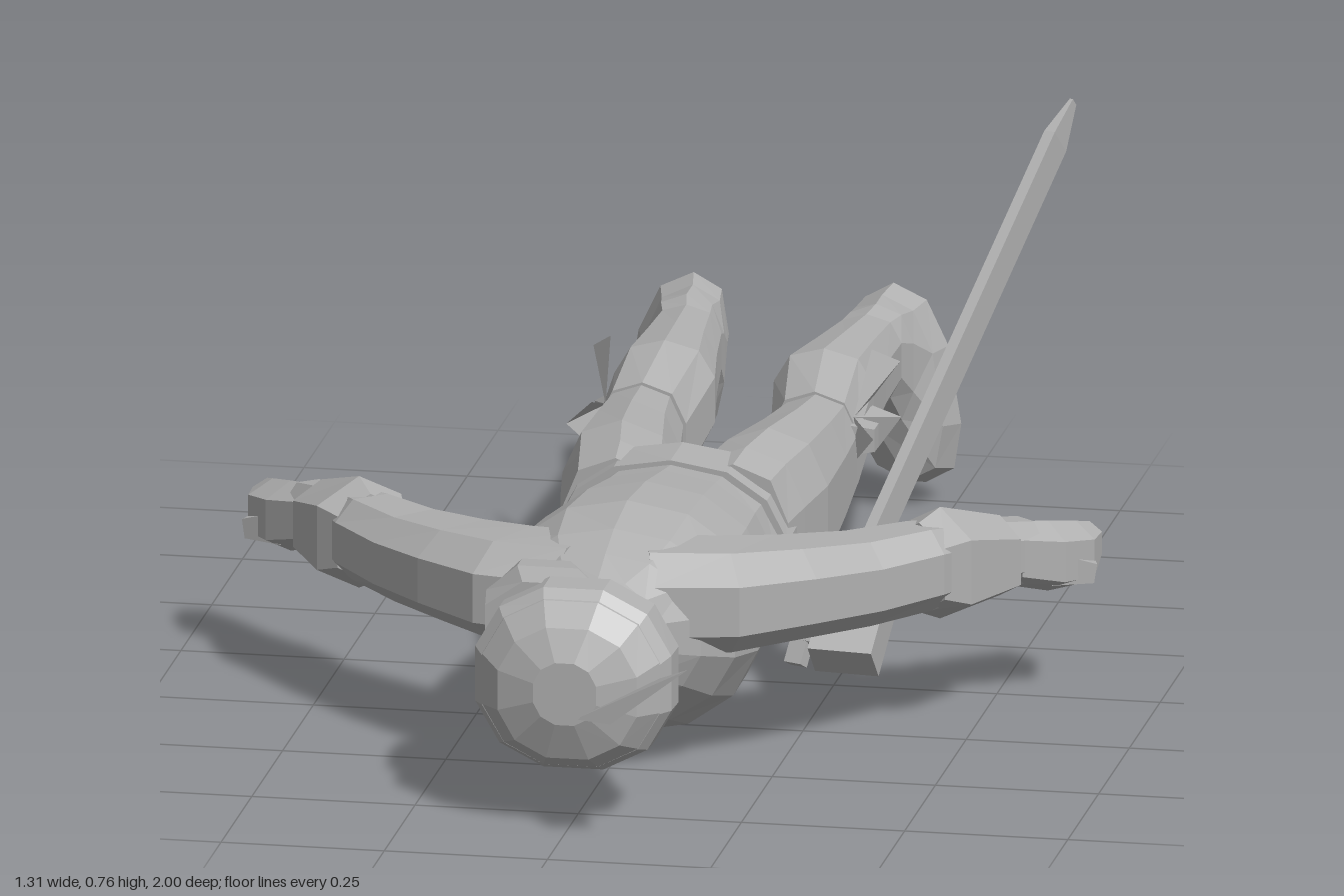
import * as THREE from 'three';

const grey = new THREE.MeshStandardMaterial({ color: 0xb0b0b0, flatShading: true, side: THREE.DoubleSide });
grey.name = 'grey';

// Rounded-square rings skinned along a path; rings face +z, or follow the path if turning.
// Section: [x, z, halfWidth, yBottom, yTop, skew]
function loft(name, sections, sides = 10, power = 0.8, turning = false) {
  const pos = [], idx = [], n = sections.length;
  const bend = (v) => Math.sign(v) * Math.abs(v) ** power;
  sections.forEach(([x, z, hw, y0, y1, skew = 0], i) => {
    const a = sections[Math.max(i - 1, 0)], b = sections[Math.min(i + 1, n - 1)];
    const t = turning ? new THREE.Vector2(b[0] - a[0], b[1] - a[1]).normalize() : new THREE.Vector2(0, 1);
    for (let j = 0; j < sides; j++) {
      const ang = ((j + 0.5) / sides) * Math.PI * 2;
      const c = bend(Math.cos(ang)) * hw, s = bend(Math.sin(ang));
      pos.push(x + t.y * c + skew * s, (y0 + y1) / 2 + (s * (y1 - y0)) / 2, z - t.x * c);
    }
  });
  for (let i = 0; i < n - 1; i++) {
    for (let j = 0; j < sides; j++) {
      const a = i * sides + j, b = i * sides + ((j + 1) % sides);
      idx.push(a, b, a + sides, b, b + sides, a + sides);
    }
  }
  const last = (n - 1) * sides;
  for (let j = 1; j < sides - 1; j++) {
    idx.push(0, j + 1, j, last, last + j, last + j + 1);
  }
  const g = new THREE.BufferGeometry();
  g.setAttribute('position', new THREE.Float32BufferAttribute(pos, 3));
  g.setIndex(idx);
  g.computeVertexNormals();
  return make(name, g);
}

function make(name, geometry) {
  const m = new THREE.Mesh(geometry, grey);
  m.name = name;
  return m;
}

// Box running from a to b, with a scaled far end
function beam(name, a, b, w, h, endScale = 1, segments = 1) {
  const from = new THREE.Vector3(...a), to = new THREE.Vector3(...b);
  const len = from.distanceTo(to);
  const g = new THREE.BoxGeometry(w, h, len, 1, 1, segments);
  const p = g.attributes.position;
  for (let i = 0; i < p.count; i++) {
    if (p.getZ(i) > len / 2 - 1e-4) p.setXY(i, p.getX(i) * endScale, p.getY(i) * endScale);
  }
  const m = make(name, g);
  m.position.copy(from).lerp(to, 0.5);
  m.lookAt(to);
  return m;
}

// Flat or folded plate from corner points
function plate(name, points) {
  const g = new THREE.BufferGeometry().setFromPoints(points.map((p) => new THREE.Vector3(...p)));
  const idx = [];
  for (let i = 1; i < points.length - 1; i++) idx.push(0, i, i + 1);
  g.setIndex(idx);
  g.computeVertexNormals();
  return make(name, g);
}

export function createModel() {
  const model = new THREE.Group();
  model.name = 'fallenSwordsman';

  // Torso lying face down, hips to neck
  model.add(loft('torso', [
    [0, -0.12, 0.16, 0.07, 0.325], [0, -0.02, 0.175, 0.035, 0.33], [0, 0.06, 0.178, 0.012, 0.342],
    [0, 0.2, 0.195, 0.005, 0.365], [0, 0.35, 0.205, 0.015, 0.378], [0, 0.46, 0.19, 0.055, 0.365],
    [0, 0.53, 0.15, 0.1, 0.345], [0, 0.585, 0.09, 0.14, 0.325], [0, 0.66, 0.07, 0.16, 0.3],
  ], 14, 0.95));
  model.add(loft('belt', [[0, -0.1, 0.186, 0.045, 0.34], [0, 0, 0.184, 0.02, 0.34]], 14, 0.9));
  model.add(plate('buckleFlap', [[-0.05, 0.012, 0.12], [0.05, 0.012, 0.12], [0.04, 0.001, -0.05], [-0.04, 0.001, -0.05]]));

  // Head, scarf, hair and face
  model.add(loft('head', [
    [0.01, 0.6, 0.08, 0.13, 0.28], [0, 0.65, 0.11, 0.085, 0.31], [0, 0.7, 0.13, 0.085, 0.33],
    [0, 0.76, 0.15, 0.085, 0.36], [0, 0.81, 0.14, 0.09, 0.355], [0, 0.84, 0.11, 0.11, 0.32],
    [0, 0.862, 0.05, 0.17, 0.27],
  ], 12, 0.9));
  model.add(loft('headScarf', [
    [-0.01, 0.69, 0.135, 0.09, 0.35], [0, 0.73, 0.155, 0.075, 0.37], [0, 0.79, 0.155, 0.08, 0.37], [0, 0.81, 0.14, 0.09, 0.35],
  ], 12, 0.9));
  model.add(loft('hair', [
    [-0.07, 0.58, 0.05, 0.24, 0.31], [-0.075, 0.61, 0.08, 0.2, 0.36], [-0.06, 0.68, 0.1, 0.2, 0.37], [-0.03, 0.75, 0.12, 0.2, 0.365],
  ], 8));
  model.add(beam('nose', [0, 0.12, 0.69], [0, 0.07, 0.66], 0.05, 0.06, 0.5));
  model.add(beam('chin', [0, 0.15, 0.63], [0, 0.09, 0.61], 0.1, 0.06, 0.6));
  for (const s of [-1, 1]) {
    model.add(beam('ear', [s * 0.08, 0.23, 0.65], [s * 0.115, 0.23, 0.64], 0.05, 0.06, 0.7));
  }

  // Feather in the scarf
  model.add(plate('feather', [[0.015, 0.18, 0.855], [0.085, 0.2, 0.94], [0.215, 0.31, 1], [0.15, 0.26, 0.885]]));

  for (const s of [-1, 1]) {
    // Arm, sleeve cuff and hand
    model.add(loft('arm', [
      [s * 0.05, 0.46, 0.11, 0.18, 0.35], [s * 0.16, 0.43, 0.11, 0.18, 0.345], [s * 0.25, 0.365, 0.095, 0.185, 0.335],
      [s * 0.34, 0.285, 0.08, 0.185, 0.325], [s * 0.42, 0.21, 0.065, 0.19, 0.325], [s * 0.48, 0.12, 0.045, 0.19, 0.31],
      [s * 0.55, 0.03, 0.04, 0.19, 0.29],
    ], 8, 0.8, true));
    model.add(loft('cuff', [
      [s * 0.42, 0.21, 0.06, 0.185, 0.325], [s * 0.445, 0.17, 0.08, 0.165, 0.34], [s * 0.52, 0.08, 0.055, 0.18, 0.305],
    ], 6, 0.8, true));
    model.add(loft('hand', [
      [s * 0.53, 0.06, 0.04, 0.19, 0.29], [s * 0.58, 0.01, 0.05, 0.17, 0.28], [s * 0.615, -0.03, 0.045, 0.17, 0.27],
      [s * 0.63, -0.065, 0.025, 0.2, 0.26],
    ], 6, 0.8, true));
    model.add(beam('thumb', [s * 0.59, 0.21, 0.02], [s * 0.65, 0.2, 0], 0.03, 0.05, 0.6));

    // Leg, boot and foot, toes pointing down and outward
    model.add(loft('leg', [
      [s * 0.134, -0.48, 0.066, 0.12, 0.315], [s * 0.127, -0.36, 0.077, 0.09, 0.325],
      [s * 0.112, -0.2, 0.095, 0.055, 0.34], [s * 0.096, -0.1, 0.095, 0.045, 0.337], [s * 0.09, -0.03, 0.088, 0.04, 0.33],
    ]));
    model.add(loft('boot', [
      [s * 0.178, -1, 0.072, 0.03, 0.34, -s * 0.025], [s * 0.165, -0.95, 0.068, 0.045, 0.335, -s * 0.02],
      [s * 0.145, -0.9, 0.06, 0.14, 0.335], [s * 0.138, -0.86, 0.056, 0.19, 0.33],
      [s * 0.13, -0.73, 0.066, 0.185, 0.34], [s * 0.122, -0.6, 0.08, 0.17, 0.35], [s * 0.132, -0.47, 0.07, 0.12, 0.32],
    ]));
    // Boot straps and flaps on the outer side
    model.add(beam('bootKnot', [s * 0.18, 0.25, -0.48], [s * 0.225, 0.25, -0.48], 0.05, 0.05, 0.7));
    for (const [z, y] of [[-0.63, 0.24], [-0.62, 0.33], [-0.4, 0.27]]) {
      model.add(plate('bootFlap', [[s * 0.19, 0.28, -0.48], [s * 0.205, y - 0.04, z * 0.6 - 0.19], [s * 0.235, y, z], [s * 0.2, y + 0.03, z * 0.7 - 0.14]]));
    }
  }

  // Holster on the right hip, rolled against the body
  const holster = beam('holster', [-0.175, 0.1, 0.1], [-0.235, 0.1, -0.18], 0.065, 0.08, 1.15);
  holster.rotateZ(0.6);
  model.add(holster);

  // Sword standing out of its guard at the left hip
  model.add(beam('blade', [0.29, 0.18, 0], [0.502, 0.755, -0.608], 0.018, 0.052, 0.3, 12));
  model.add(beam('swordGrip', [0.23, 0.08, 0.08], [0.29, 0.19, -0.01], 0.04, 0.05));
  model.add(beam('sheathBlock', [0.285, 0.07, 0.11], [0.3, 0.18, -0.02], 0.1, 0.06));
  model.add(beam('guard', [0.24, 0.21, 0], [0.34, 0.16, 0], 0.12, 0.02));
  model.add(beam('guardBow', [0.24, 0.2, 0.03], [0.21, 0.06, 0.1], 0.03, 0.02));
  return model;
}
